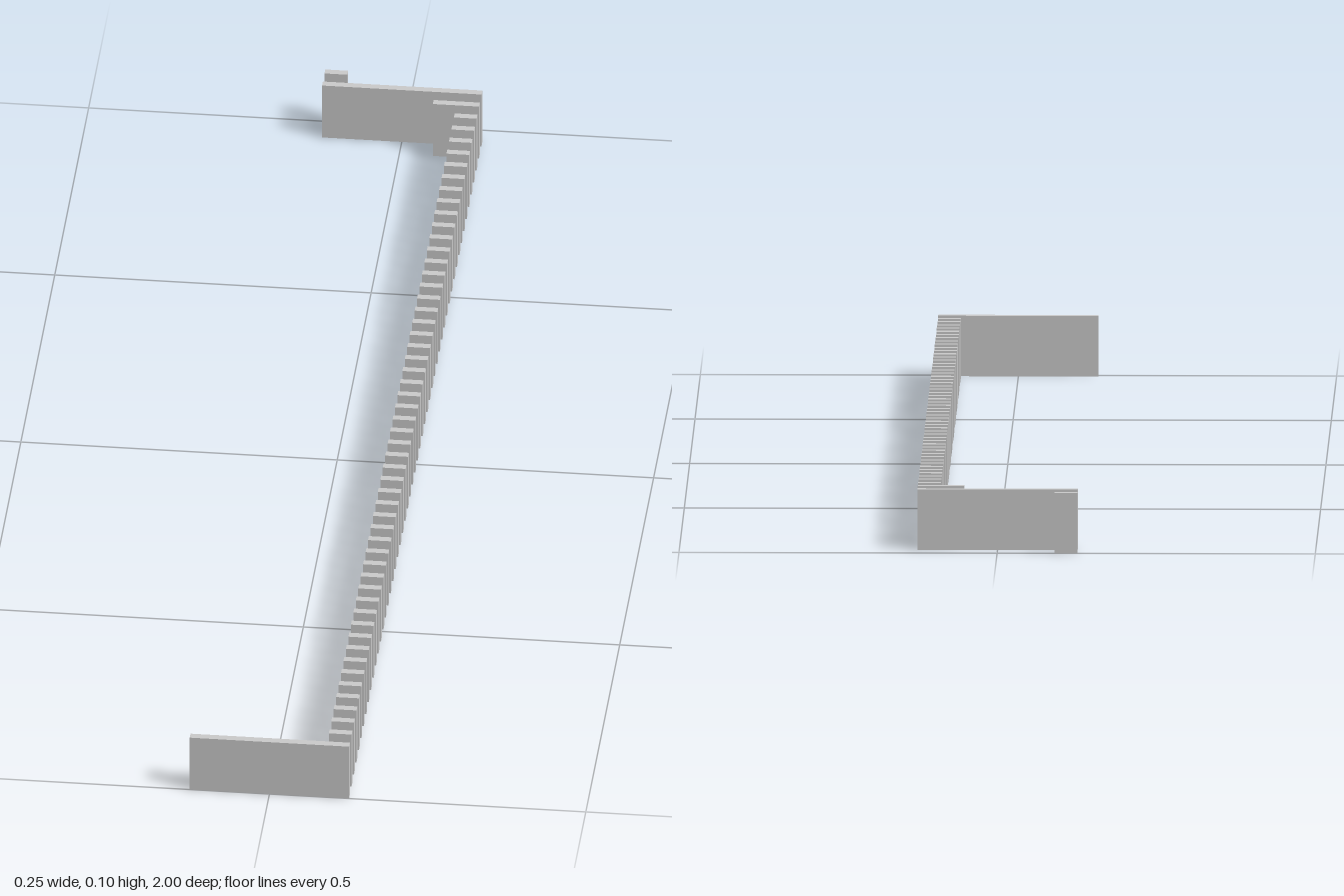
import * as THREE from 'three';

const HEIGHT = 0.096, THICK = 0.012, EDGE = 0.126;
const COUNT = 56, PITCH = (2 - THICK) / (COUNT - 1);

export function createModel() {
  const model = new THREE.Group();
  model.name = 'slatFence';
  const material = new THREE.MeshStandardMaterial({ color: 0xcccccc, flatShading: true });

  // Upright panel spanning x0..x1 at a given place in the row, counted from the front
  function addPanel(name, x0, x1, index) {
    const panel = new THREE.Mesh(new THREE.BoxGeometry(x1 - x0, HEIGHT, THICK), material);
    panel.position.set((x0 + x1) / 2, HEIGHT / 2, 1 - THICK / 2 - index * PITCH);
    panel.name = name;
    model.add(panel);
  }

  // Full-width end panels
  addPanel('frontPanel', -EDGE, EDGE, 0);
  addPanel('backPanel', -EDGE, EDGE, COUNT - 2);

  // Row of narrow slats along the left edge
  for (let i = 1; i < COUNT - 3; i++) addPanel('slat', 0.09, EDGE, i);

  // Wider slat before the back panel, and the short slat behind it
  addPanel('wideSlat', 0.053, EDGE, COUNT - 3);
  addPanel('rearSlat', -EDGE, -0.09, COUNT - 1);

  return model;
}
